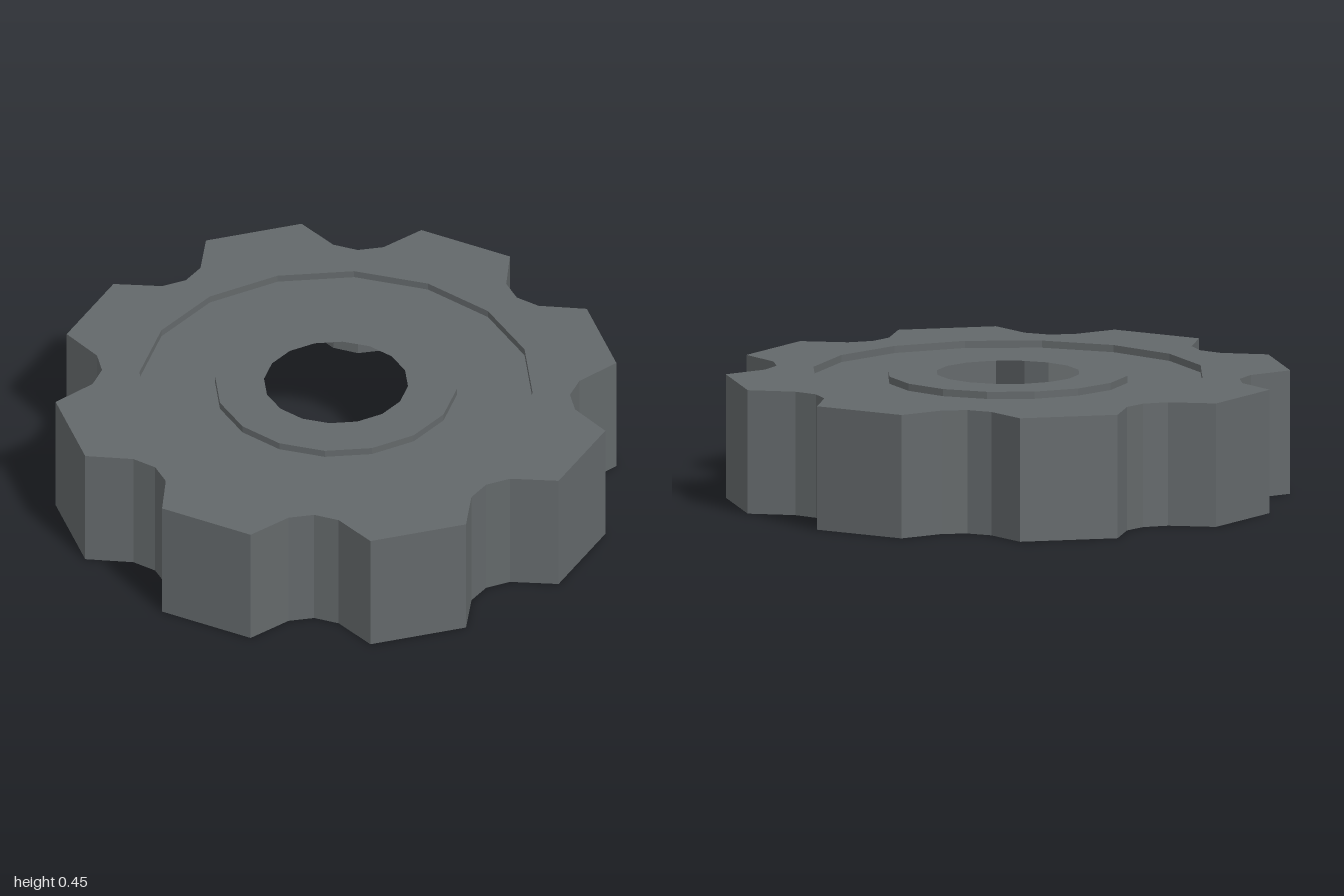
import * as THREE from 'three';

const TOP = 0.45, RECESS = 0.424, TEETH = 8;

// Regular 16-sided ring of points, counter-clockwise from above
function ring(r) {
  return Array.from({ length: 16 }, (_, i) => {
    const a = (i * Math.PI) / 8;
    return new THREE.Vector2(r * Math.cos(a), r * Math.sin(a));
  });
}

// Toothed outline: flat tooth tip, then a three-point scooped valley
function gearOutline() {
  const tooth = [[1, -0.18], [1, 0.18], [0.84, 0.25], [0.781, 0.323], [0.77, 0.417]];
  const points = [];
  for (let i = 0; i < TEETH; i++) {
    const a = (i * Math.PI * 2) / TEETH;
    for (const [x, y] of tooth) {
      points.push(new THREE.Vector2(x, y).rotateAround(new THREE.Vector2(), a));
    }
  }
  return points;
}

// Flat horizontal plate with a hole, at height y
function plate(outer, inner, y) {
  const shape = new THREE.Shape(outer);
  shape.holes.push(new THREE.Path(inner));
  return new THREE.ShapeGeometry(shape).rotateX(-Math.PI / 2).translate(0, y, 0);
}

// Upright wall along a closed outline, facing outwards for counter-clockwise points
function wall(points, y0, y1) {
  const pos = [];
  points.forEach((a, i) => {
    const b = points[(i + 1) % points.length];
    pos.push(a.x, y0, -a.y, b.x, y0, -b.y, b.x, y1, -b.y);
    pos.push(a.x, y0, -a.y, b.x, y1, -b.y, a.x, y1, -a.y);
  });
  const geometry = new THREE.BufferGeometry();
  geometry.setAttribute('position', new THREE.Float32BufferAttribute(pos, 3));
  geometry.computeVertexNormals();
  return geometry;
}

export function createModel() {
  const group = new THREE.Group();
  group.name = 'gearWheel';
  const darkGrey = new THREE.MeshStandardMaterial({
    color: 0x63686a, flatShading: true, side: THREE.DoubleSide,
  });
  darkGrey.name = 'darkGrey';

  const add = (name, geometry) => {
    const mesh = new THREE.Mesh(geometry, darkGrey);
    mesh.name = name;
    group.add(mesh);
  };

  const outline = gearOutline();
  const recessRing = ring(0.71), hubRing = ring(0.437), holeRing = ring(0.26);

  // Open-bottomed toothed shell
  add('toothedWall', wall(outline, 0, TOP));
  add('toothedRim', plate(outline, recessRing, TOP));

  // Shallow recess between the rim and the hub
  add('recessEdge', wall([...recessRing].reverse(), RECESS, TOP));
  add('recessedPlate', plate(recessRing, hubRing, RECESS));

  // Raised hub around the centre hole
  add('hubEdge', wall(hubRing, RECESS, TOP));
  add('hubPlate', plate(hubRing, holeRing, TOP));

  return group;
}
